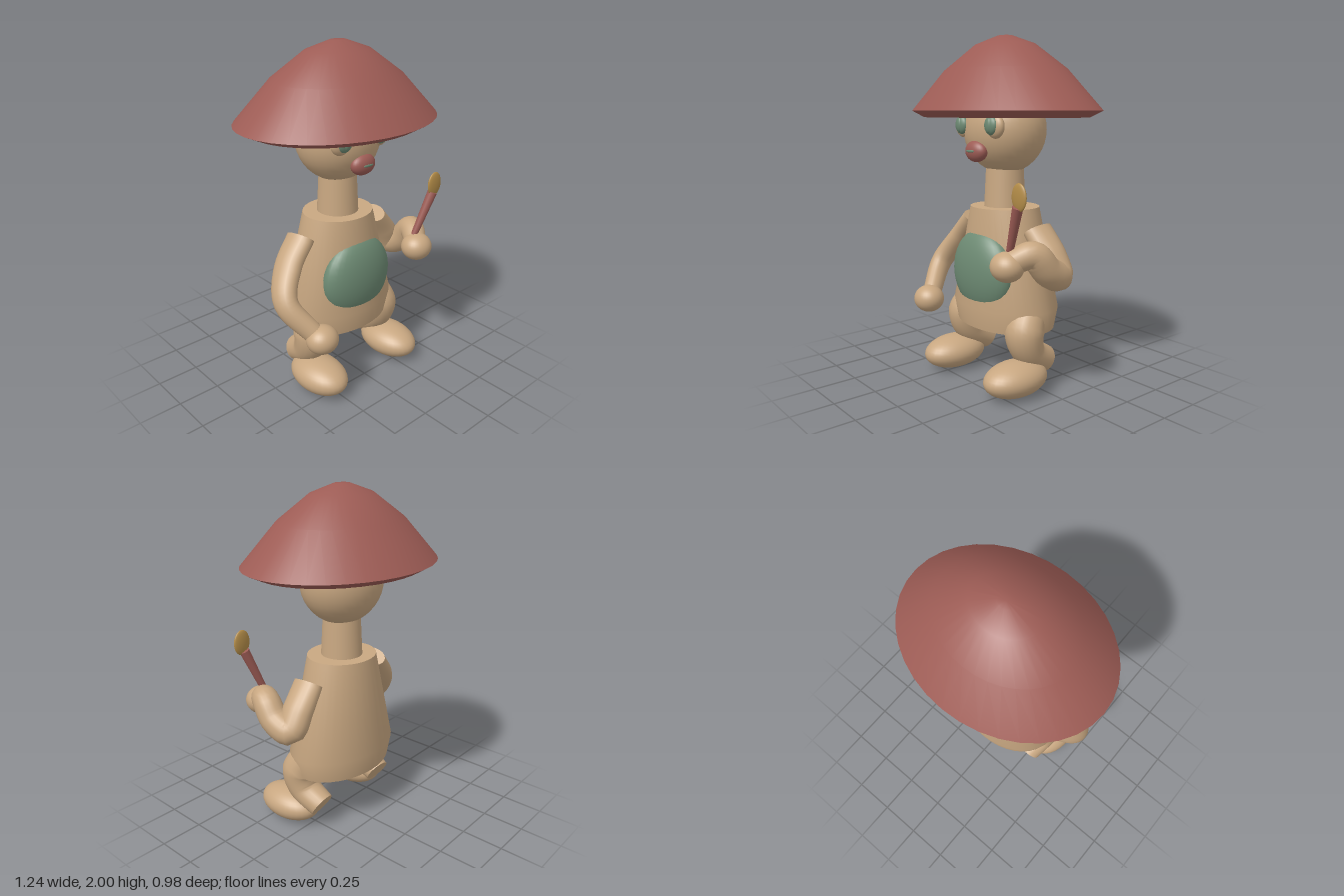
import * as THREE from 'three';
import { toCreasedNormals } from 'three/addons/utils/BufferGeometryUtils.js';

const material = (name, color) => {
  const m = new THREE.MeshStandardMaterial({ color });
  m.name = name;
  return m;
};

// Revolved profile squashed to an oval plan
function ovalLathe(profile, depth) {
  const points = profile.map(([r, y]) => new THREE.Vector2(r, y));
  const geometry = new THREE.LatheGeometry(points, 36);
  geometry.scale(1, 1, depth);
  return toCreasedNormals(geometry, 0.8);
}

// Capped limb swept along a curve, with an oval section that changes along it
function limbGeometry(path, sections, steps = 24, sides = 20) {
  const curve = new THREE.CatmullRomCurve3(path.map(p => new THREE.Vector3(...p)));
  const frames = curve.computeFrenetFrames(steps);
  const positions = [], index = [];
  for (let i = 0; i <= steps; i++) {
    const t = i / steps;
    const f = t * (sections.length - 1);
    const k = Math.min(Math.floor(f), sections.length - 2);
    const a = THREE.MathUtils.lerp(sections[k][0], sections[k + 1][0], f - k);
    const b = THREE.MathUtils.lerp(sections[k][1], sections[k + 1][1], f - k);
    const centre = curve.getPointAt(t);
    for (let j = 0; j < sides; j++) {
      const angle = (j / sides) * Math.PI * 2;
      const p = centre.clone()
        .addScaledVector(frames.normals[i], a * Math.cos(angle))
        .addScaledVector(frames.binormals[i], b * Math.sin(angle));
      positions.push(p.x, p.y, p.z);
    }
  }
  const first = positions.length / 3;
  for (const t of [0, 1]) positions.push(...curve.getPointAt(t).toArray());
  const end = steps * sides;
  for (let j = 0; j < sides; j++) {
    const n = (j + 1) % sides;
    for (let i = 0; i < steps; i++) {
      const r = i * sides, s = r + sides;
      index.push(r + j, r + n, s + j, r + n, s + n, s + j);
    }
    index.push(first, n, j, first + 1, end + j, end + n);
  }
  const geometry = new THREE.BufferGeometry();
  geometry.setAttribute('position', new THREE.Float32BufferAttribute(positions, 3));
  geometry.setIndex(index);
  return toCreasedNormals(geometry, 1);
}

export function createModel() {
  const model = new THREE.Group();
  model.name = 'mushroomPainter';
  const tan = material('tan', 0xc8a781);
  const red = material('capRed', 0x9d5c55);
  const green = material('mossGreen', 0x6d8a73);
  const gold = material('bristleGold', 0xb38c48);

  const add = (name, geometry, mat) => {
    const mesh = new THREE.Mesh(geometry, mat);
    mesh.name = name;
    model.add(mesh);
    return mesh;
  };
  const ellipsoid = (name, mat, centre, radii) => {
    const mesh = add(name, new THREE.SphereGeometry(1, 32, 20), mat);
    mesh.position.set(...centre);
    mesh.scale.set(...radii);
    return mesh;
  };

  // Mushroom cap
  add('cap', ovalLathe([
    [0, 1.543], [0.54, 1.543], [0.62, 1.58], [0.4, 1.808],
    [0.197, 1.95], [0.05, 2], [0, 2],
  ], 0.79), red);

  // Head and neck
  ellipsoid('head', tan, [0, 1.475, 0], [0.255, 0.255, 0.23]);
  const neck = add('neck', new THREE.CylinderGeometry(0.11, 0.122, 0.24, 32), tan);
  neck.position.y = 1.14;

  // Torso, with depth growing more slowly than width towards the hips
  const torso = new THREE.LatheGeometry(
    [[0, 0.336], [0.345, 0.336], [0.372, 0.46], [0.215, 1.03], [0, 1.03]]
      .map(([r, y]) => new THREE.Vector2(r, y)), 36);
  const p = torso.attributes.position;
  for (let i = 0; i < p.count; i++) {
    const t = THREE.MathUtils.clamp((p.getY(i) - 0.46) / 0.57, 0, 1);
    p.setZ(i, p.getZ(i) * THREE.MathUtils.lerp(0.685, 0.9, t));
  }
  add('torso', toCreasedNormals(torso, 0.8), tan);
  ellipsoid('bellyPatch', green, [0, 0.658, 0.163], [0.245, 0.247, 0.112]);

  // Nose and mouth
  ellipsoid('nose', red, [0, 1.355, 0.207], [0.083, 0.061, 0.048]);
  ellipsoid('mouth', green, [0, 1.357, 0.252], [0.036, 0.008, 0.005]);

  for (const side of [-1, 1]) {
    const label = side > 0 ? 'left' : 'right';
    // Eyes
    ellipsoid(label + 'Eye', tan, [side * 0.143, 1.495, 0.185], [0.067, 0.067, 0.036]);
    ellipsoid(label + 'Iris', green, [side * 0.135, 1.5, 0.208], [0.05, 0.053, 0.028]);
    ellipsoid(label + 'Pupil', green, [side * 0.135, 1.5, 0.222], [0.024, 0.042, 0.018]);
    // Legs bend forward at the knee and back behind the foot
    add(label + 'Leg', limbGeometry([
      [side * 0.25, 0.46, 0.02], [side * 0.275, 0.335, 0.085],
      [side * 0.275, 0.225, 0.05], [side * 0.265, 0.15, -0.075],
    ], [[0.1, 0.1], [0.115, 0.112], [0.095, 0.09], [0.08, 0.08]]), tan);
    ellipsoid(label + 'Foot', tan, [side * 0.292, 0.1, 0.163], [0.138, 0.1, 0.205]);
    // Hands
    ellipsoid(label + 'Hand', tan, [side * 0.376, side > 0 ? 0.772 : 0.437, 0.295],
      [0.095, 0.082, 0.09]);
  }

  // Arms: one hangs in a curve, the other folds up to hold the brush
  add('rightArm', limbGeometry([
    [-0.28, 0.93, 0], [-0.4, 0.79, 0.03], [-0.488, 0.63, 0.12], [-0.4, 0.46, 0.26],
  ], [[0.095, 0.06], [0.09, 0.062], [0.072, 0.06], [0.06, 0.055]]), tan);
  add('leftArm', limbGeometry([
    [0.285, 0.925, 0], [0.38, 0.8, -0.01], [0.445, 0.695, -0.005],
    [0.465, 0.735, 0.09], [0.45, 0.83, 0.18], [0.385, 0.79, 0.28],
  ], [[0.095, 0.06], [0.095, 0.075], [0.085, 0.085], [0.08, 0.08], [0.065, 0.065]], 36), tan);

  // Paintbrush
  const bottom = new THREE.Vector3(0.355, 0.8, 0.27);
  const top = new THREE.Vector3(0.478, 1.1, 0.31);
  const along = top.clone().sub(bottom);
  const handle = add('brushHandle',
    new THREE.CylinderGeometry(0.029, 0.018, along.length(), 20), red);
  handle.position.copy(bottom).add(top).multiplyScalar(0.5);
  handle.quaternion.setFromUnitVectors(new THREE.Vector3(0, 1, 0), along.normalize());
  ellipsoid('brushTip', gold, [0.49, 1.15, 0.312], [0.055, 0.073, 0.016]);

  return model;
}
